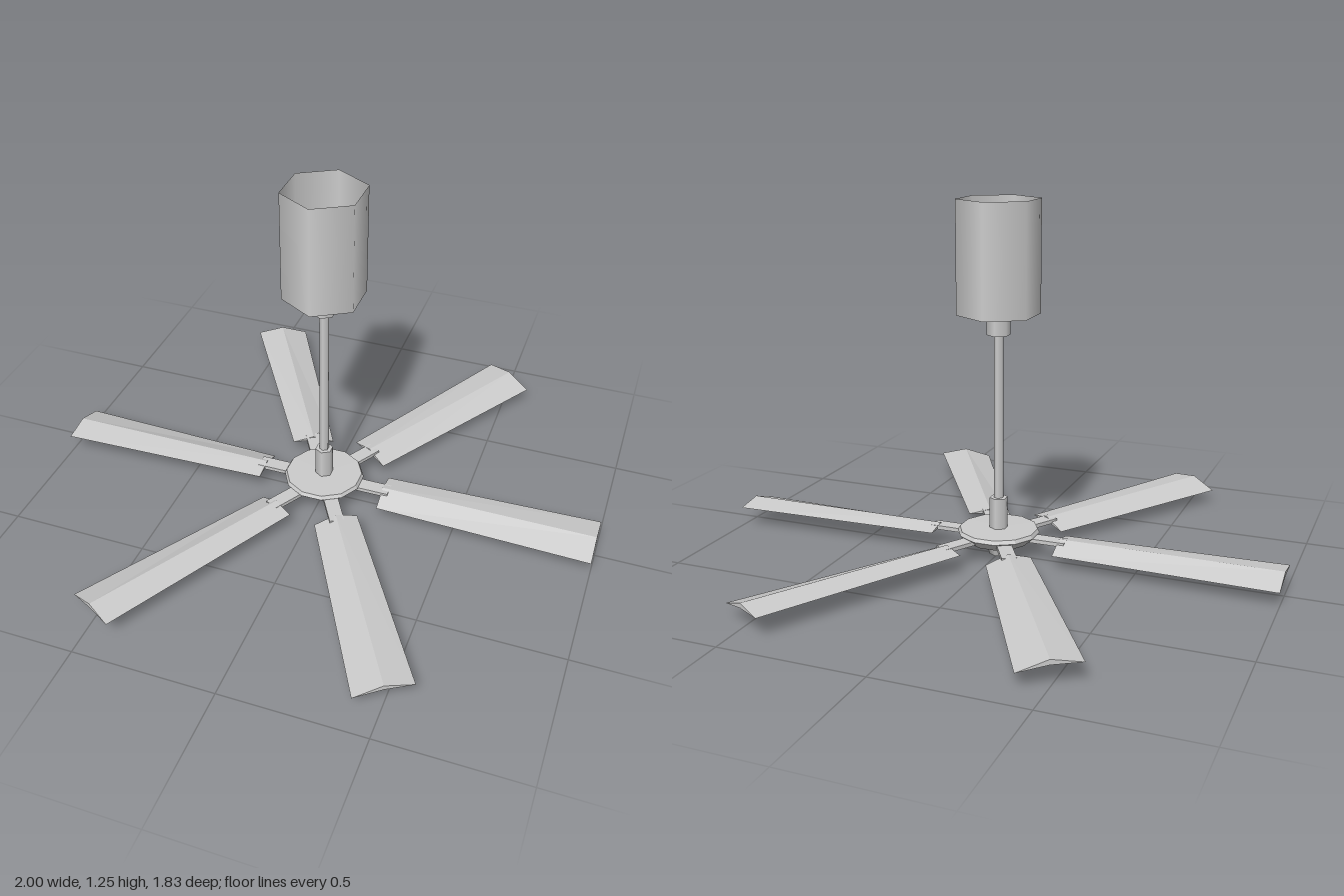
import * as THREE from 'three';

const smooth = new THREE.MeshStandardMaterial({ color: 0xcccccc });
const flat = new THREE.MeshStandardMaterial({ color: 0xcccccc, flatShading: true });
const open = new THREE.MeshStandardMaterial({ color: 0xcccccc, side: THREE.DoubleSide });

function add(parent, name, geometry, material) {
  const mesh = new THREE.Mesh(geometry, material);
  mesh.name = name;
  parent.add(mesh);
  return mesh;
}

// Six-sided upright tube from y0 to y1
function hexTube(y0, y1, r0, r1 = r0, isOpen = false) {
  return new THREE.CylinderGeometry(r1, r0, y1 - y0, 6, 1, isOpen).translate(0, (y0 + y1) / 2, 0);
}

// Pitched, ridged blade lofted between an inner and a wider outer section
function bladeGeometry() {
  const section = (x, w) => [
    [x, 0.05, w], [x, 0.085, 0], [x, 0.07, -w], [x, 0.068, 0],
  ];
  const a = section(0.225, 0.077), b = section(1, 0.1);
  const pos = [];
  const tri = (...pts) => pts.forEach((p) => pos.push(...p));
  for (let i = 0; i < 4; i++) {
    const j = (i + 1) % 4;
    tri(a[i], b[i], b[j], a[i], b[j], a[j]);
  }
  tri(a[0], a[1], a[3], a[1], a[2], a[3]);
  tri(b[0], b[3], b[1], b[1], b[3], b[2]);
  const g = new THREE.BufferGeometry();
  g.setAttribute('position', new THREE.Float32BufferAttribute(pos, 3));
  g.computeVertexNormals();
  return g;
}

export function createModel() {
  const fan = new THREE.Group();
  fan.name = 'ceilingFan';

  // Ceiling canister, open at the top
  const canister = new THREE.Group();
  canister.name = 'canister';
  fan.add(canister);
  add(canister, 'canisterWall', hexTube(0.86, 1.25, 0.145, 0.145, true), open);
  const floor = new THREE.CircleGeometry(0.145, 6, Math.PI / 2).rotateX(Math.PI / 2).translate(0, 0.86, 0);
  add(canister, 'canisterFloor', floor, open);

  // Hanging rod with its collars
  add(fan, 'upperCollar', hexTube(0.79, 0.862, 0.041), smooth);
  add(fan, 'rod', hexTube(0.2, 0.8, 0.017), smooth);
  add(fan, 'lowerCollar', hexTube(0.095, 0.21, 0.032), smooth);

  // Twelve-sided hub and the tapered cap below it
  const profile = [[0, 0.05], [0.11, 0.053], [0.145, 0.085], [0.138, 0.098], [0, 0.1]]
    .map(([r, y]) => new THREE.Vector2(r, y));
  add(fan, 'hub', new THREE.LatheGeometry(profile, 12, Math.PI / 12), flat);
  add(fan, 'bottomCap', hexTube(0, 0.055, 0.032, 0.05), smooth);

  // Six arms and blades
  const blade = bladeGeometry();
  const arm = new THREE.BoxGeometry(0.15, 0.014, 0.052).translate(0.175, 0.074, 0);
  for (let i = 0; i < 6; i++) {
    const unit = new THREE.Group();
    unit.name = `bladeUnit${i + 1}`;
    unit.rotation.y = (i * Math.PI) / 3;
    add(unit, 'arm', arm, flat);
    add(unit, 'blade', blade, flat);
    fan.add(unit);
  }
  return fan;
}
